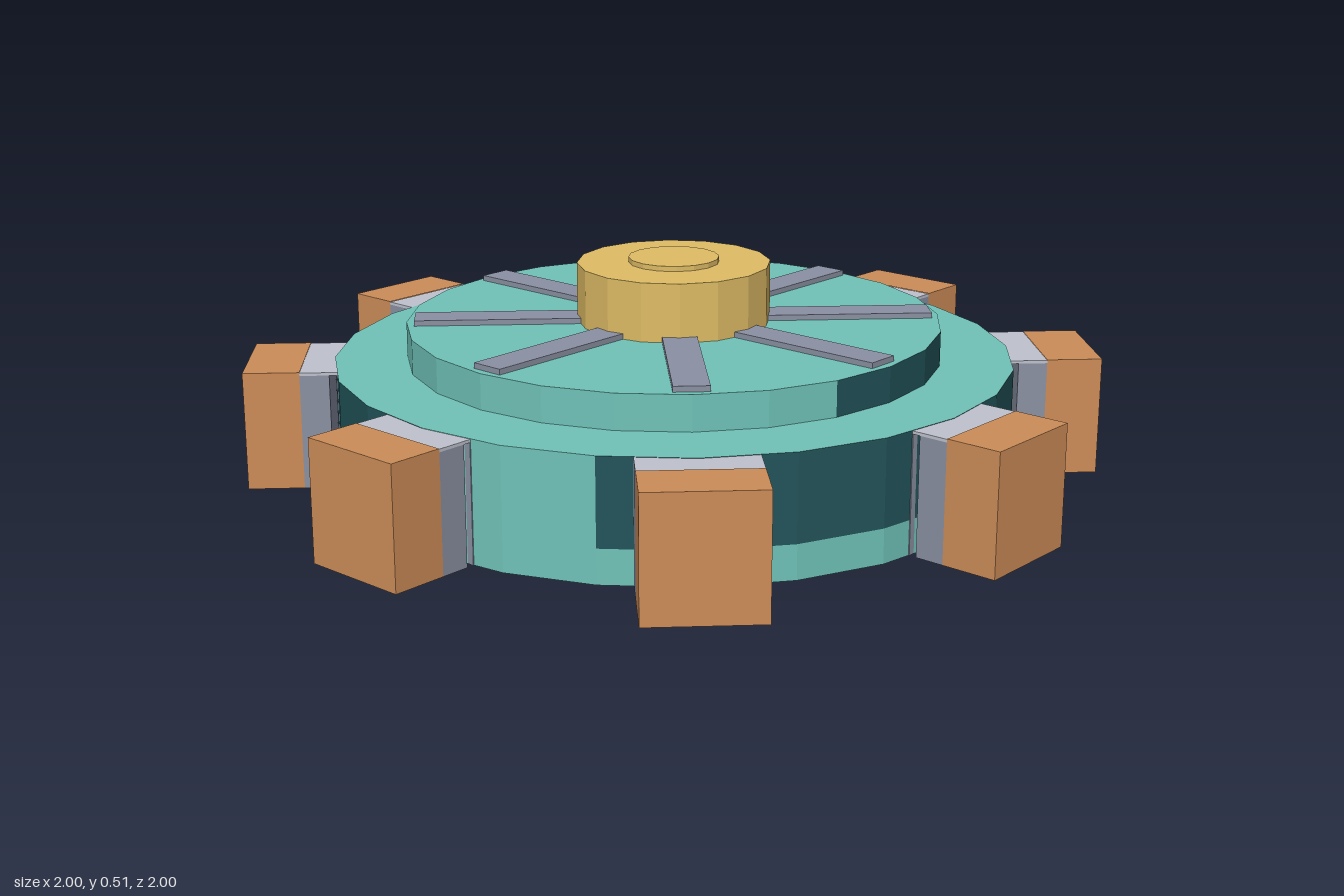
import * as THREE from 'three';

const mat = (name, color, side = THREE.FrontSide) => {
  const m = new THREE.MeshStandardMaterial({ color, side, flatShading: true });
  m.name = name;
  return m;
};

// Box face numbers, in the order BoxGeometry builds them
const BOTTOM = 3, INNER = 5;

export function createModel() {
  const teal = mat('teal', 0x70c3b9, THREE.DoubleSide);
  const darkTeal = mat('dark teal', 0x22545a);
  const copper = mat('copper', 0xcd8d58, THREE.DoubleSide);
  const gold = mat('gold', 0xe0bd66);
  const grey = mat('grey', 0x8b91a3, THREE.DoubleSide);
  const lightGrey = mat('light grey', 0xc0c3cf);
  const slate = mat('slate', 0x626879);

  const model = new THREE.Group();
  model.name = 'spokedWheel';

  const add = (parent, name, geometry, material, x = 0, y = 0, z = 0) => {
    const mesh = new THREE.Mesh(geometry, material);
    mesh.name = name;
    mesh.position.set(x, y, z);
    parent.add(mesh);
    return mesh;
  };
  // Closed cylinder spanning y0..y1
  const drum = (name, r, y0, y1) =>
    add(model, name, new THREE.CylinderGeometry(r, r, y1 - y0, 16), gold, 0, (y0 + y1) / 2, 0);
  // Open wall of 15 degree panels, from +z towards +x, between two angles
  const wall = (name, r, y0, y1, material, from = 0, to = 360) => {
    const g = new THREE.CylinderGeometry(r, r, y1 - y0, (to - from) / 15, 1, true,
      THREE.MathUtils.degToRad(from), THREE.MathUtils.degToRad(to - from));
    return add(model, name, g, material, 0, (y0 + y1) / 2, 0);
  };
  const disc = (name, r, y) => {
    const g = new THREE.CircleGeometry(r, 24);
    g.rotateX(-Math.PI / 2);
    return add(model, name, g, teal, 0, y, 0);
  };
  // Box spanning radius r0..r1 along +z and height y0..y1, with some faces left open
  const radialBox = (parent, name, w, y0, y1, r0, r1, material, open = [], x = 0) => {
    const g = new THREE.BoxGeometry(w, y1 - y0, r1 - r0);
    g.setIndex(Array.from(g.index.array).filter((_, i) => !open.includes(Math.floor(i / 6))));
    g.clearGroups();
    return add(parent, name, g, material, x, (y0 + y1) / 2, (r0 + r1) / 2);
  };

  // Hollow rim: teal lining and lip, dark band with two teal stretches
  wall('rimLining', 0.796, 0, 0.279, teal);
  wall('rimLip', 0.8, 0, 0.08, teal);
  for (const start of [-15, 165]) {
    wall('rimBand', 0.8, 0.08, 0.28, darkTeal, start, start + 150);
    wall('rimBandGap', 0.8, 0.08, 0.28, teal, start + 150, start + 180);
  }
  disc('rimTop', 0.8, 0.28);

  // Raised deck, its edge in alternating stretches
  wall('deckEdgeDark', 0.63, 0.28, 0.362, darkTeal, 30, 150);
  wall('deckEdgeLight', 0.63, 0.28, 0.362, teal, 150, 210);
  wall('deckEdgeDark', 0.63, 0.28, 0.362, darkTeal, 210, 270);
  wall('deckEdgeLight', 0.63, 0.28, 0.362, teal, 270, 390);
  disc('deckTop', 0.63, 0.362);

  // Hub and cap
  drum('hub', 0.228, 0.362, 0.5);
  drum('hubCap', 0.107, 0.5, 0.512);

  // Eight arms: spoke, hollow bracket through the rim, hollow tooth outside it
  for (let i = 0; i < 8; i++) {
    const arm = new THREE.Group();
    arm.name = `arm${i + 1}`;
    arm.rotation.y = i * Math.PI / 4;
    model.add(arm);
    radialBox(arm, 'spoke', 0.08, 0.362, 0.375, 0.2, 0.61, grey);
    radialBox(arm, 'innerBracket', 0.26, 0, 0.272, 0.57, 0.785, grey, [BOTTOM]);
    radialBox(arm, 'outerBracket', 0.26, 0, 0.272, 0.802, 0.87, grey, [BOTTOM]);
    radialBox(arm, 'bracketTop', 0.26, 0.272, 0.279, 0.78, 0.87, lightGrey);
    radialBox(arm, 'tooth', 0.26, 0, 0.28, 0.87, 1, copper, [BOTTOM, INNER]);

    // Panels on the bracket's inner end and inside its walls
    radialBox(arm, 'endPanel', 0.16, 0.045, 0.255, 0.567, 0.57, slate);
    radialBox(arm, 'endLining', 0.13, 0.045, 0.255, 0.57, 0.573, lightGrey);
    for (const side of [-1, 1])
      radialBox(arm, 'sideLining', 0.003, 0.045, 0.255, 0.61, 0.76, lightGrey, [], side * 0.128);
  }
  return model;
}
